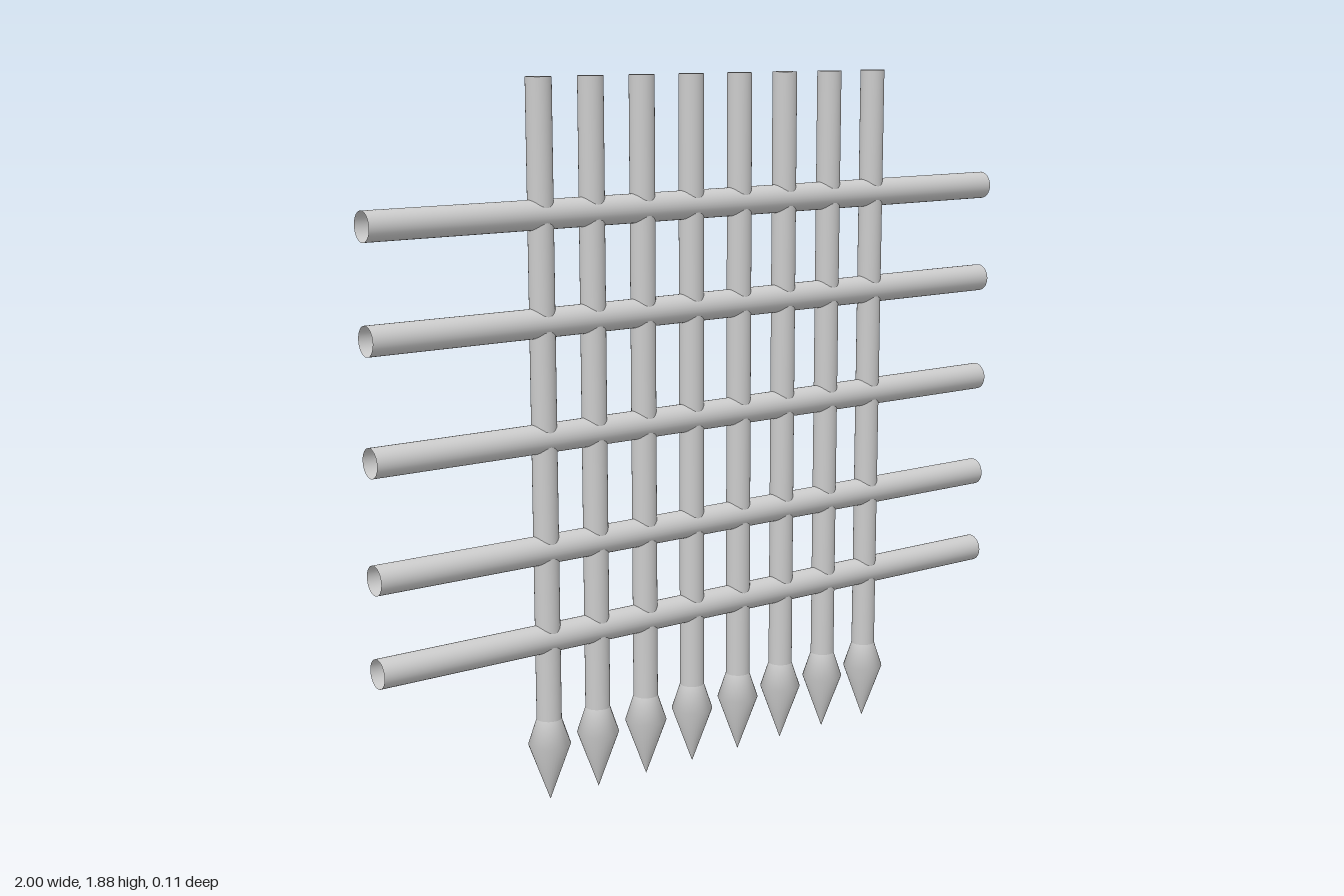
import * as THREE from 'three';

const TOP = 1.88;
const TIP_TOP = 0.225;
const SHAFT_R = 0.033;
const RAIL_R = 0.038;

export function createModel() {
  const model = new THREE.Group();
  model.name = 'portcullis';
  const solid = new THREE.MeshStandardMaterial({ color: 0xcccccc });
  const open = new THREE.MeshStandardMaterial({ color: 0xcccccc, side: THREE.DoubleSide });

  const add = (parent, name, geometry, material, x, y) => {
    const mesh = new THREE.Mesh(geometry, material);
    mesh.name = name;
    mesh.position.set(x, y, 0);
    parent.add(mesh);
  };

  // Upright bars, each ending in a spear point at the ground
  const shaft = new THREE.CylinderGeometry(SHAFT_R, SHAFT_R, TOP - TIP_TOP, 32);
  const tip = new THREE.LatheGeometry([
    new THREE.Vector2(0, 0),
    new THREE.Vector2(0.056, 0.155),
    new THREE.Vector2(SHAFT_R, TIP_TOP),
  ], 32);
  [-0.51, -0.358, -0.203, -0.048, 0.11, 0.262, 0.417, 0.572].forEach((x, i) => {
    const bar = new THREE.Group();
    bar.name = `uprightBar${i + 1}`;
    add(bar, 'shaft', shaft, solid, x, (TOP + TIP_TOP) / 2);
    add(bar, 'spearPoint', tip, solid, x, 0);
    model.add(bar);
  });

  // Open-ended crossing rails
  const rail = new THREE.CylinderGeometry(RAIL_R, RAIL_R, 2, 32, 1, true);
  rail.rotateZ(Math.PI / 2);
  [0.444, 0.682, 0.974, 1.27, 1.542].forEach((y, i) => {
    add(model, `crossRail${i + 1}`, rail, open, 0, y);
  });

  return model;
}
